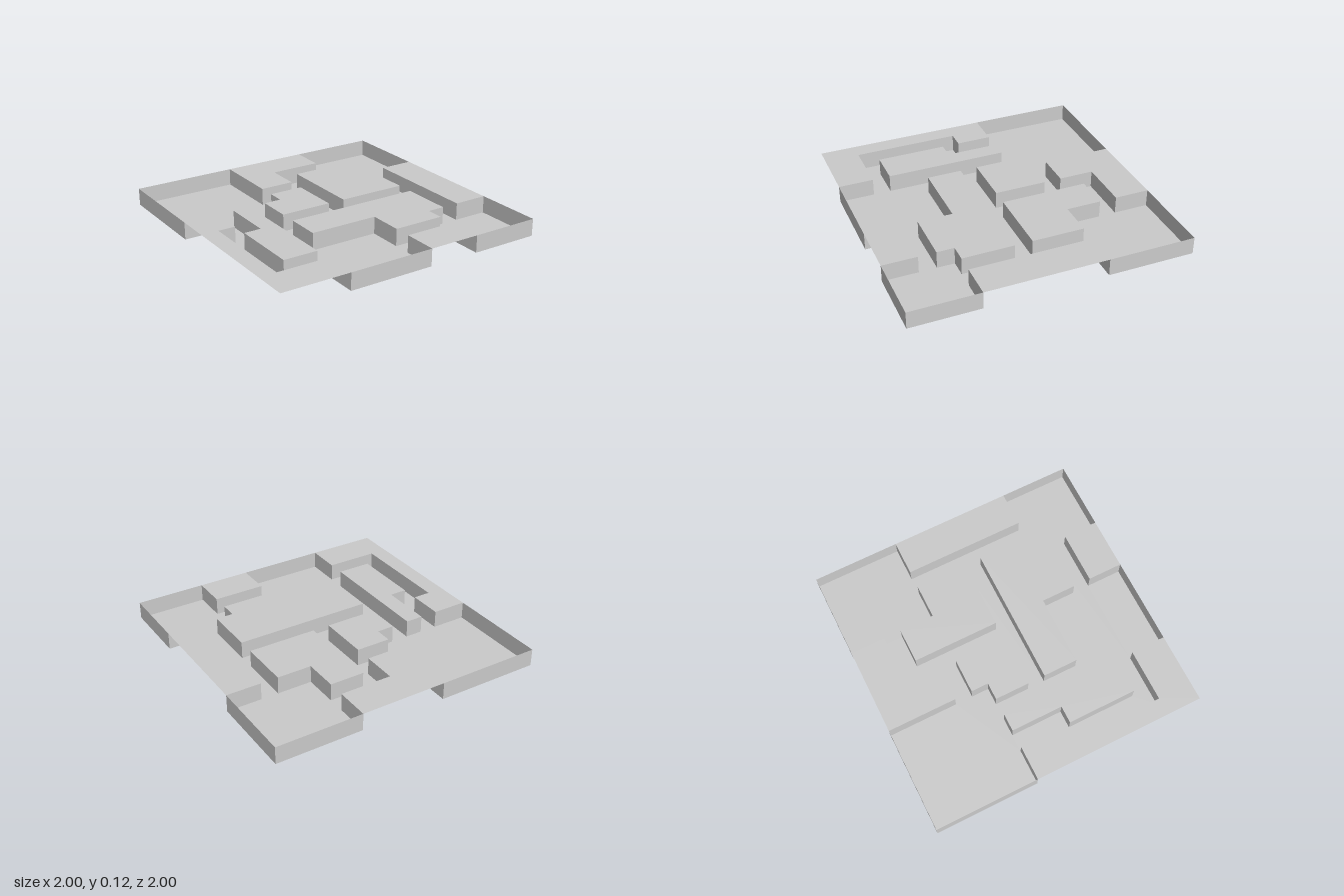
import * as THREE from 'three';

const U = 1 / 8;      // plan grid unit
const H = 0.125;      // height of the raised plates above the floor

// Plan outlines as [x, z] in grid units, clockwise seen from above
const floorOutline = [
  [-8, -8], [-2, -8], [-2, -4], [0, -4], [0, -6], [3, -6], [3, -8], [8, -8],
  [8, -3], [6, -3], [6, 4], [8, 4], [8, 8], [4, 8], [4, 6], [1, 6], [1, 8],
  [-4, 8], [-4, 6], [-7, 6], [-7, 0], [-6, 0], [-6, -2], [-8, -2],
];
const islands = {
  longIsland: [[-5, -2], [-4, -2], [-4, 5], [-6, 5], [-6, 1], [-5, 1]],
  smallIsland: [[-2, -3], [0, -3], [0, 0], [-3, 0], [-3, -2], [-2, -2]],
  backIsland: [[1, -5], [3, -5], [3, -3], [5, -3], [5, 0], [1, 0]],
  frontIsland: [[-3, 1], [5, 1], [5, 4], [4, 4], [4, 5], [1, 5], [1, 3], [-3, 3]],
};
const ledges = {
  backLedge: [[-2, -8], [3, -8], [3, -6], [0, -6], [0, -4], [-2, -4]],
  leftLedge: [[6, -3], [8, -3], [8, 4], [6, 4]],
  frontLedge: [[1, 6], [4, 6], [4, 8], [1, 8]],
  cornerLedge: [[-8, -2], [-6, -2], [-6, 0], [-7, 0], [-7, 6], [-4, 6], [-4, 8], [-8, 8]],
};

export function createModel() {
  const model = new THREE.Group();
  model.name = 'mazePlate';
  const material = new THREE.MeshStandardMaterial({
    color: 0xcccccc, flatShading: true, side: THREE.DoubleSide,
  });

  const add = (name, geometry) => {
    const mesh = new THREE.Mesh(geometry, material);
    mesh.name = name;
    model.add(mesh);
  };
  const points = (outline) => outline.map(([x, z]) => new THREE.Vector2(x * U, -z * U));

  // Horizontal sheet at height y, with optional holes
  const sheet = (outline, y, holes = []) => {
    const shape = new THREE.Shape(points(outline));
    shape.holes = holes.map((hole) => new THREE.Path(points(hole)));
    return new THREE.ShapeGeometry(shape).rotateX(-Math.PI / 2).translate(0, y, 0);
  };

  // Vertical ribbon around a closed outline, facing right of its direction
  const wall = (outline) => {
    const pos = [];
    outline.forEach(([ax, az], i) => {
      const [bx, bz] = outline[(i + 1) % outline.length];
      const a = [ax * U, 0, az * U], b = [bx * U, 0, bz * U];
      const c = [bx * U, H, bz * U], d = [ax * U, H, az * U];
      pos.push(...a, ...b, ...c, ...a, ...c, ...d);
    });
    const geometry = new THREE.BufferGeometry();
    geometry.setAttribute('position', new THREE.Float32BufferAttribute(pos, 3));
    geometry.computeVertexNormals();
    return geometry;
  };

  // Sunken floor and the wall around it
  add('floor', sheet(floorOutline, 0, Object.values(islands)));
  add('floorWall', wall(floorOutline));

  // Raised islands, hollow underneath
  for (const [name, outline] of Object.entries(islands)) {
    add(name + 'Top', sheet(outline, H));
    add(name + 'Wall', wall([...outline].reverse()));
  }

  // Raised ledges on the rim, open on their outer side
  for (const [name, outline] of Object.entries(ledges)) add(name, sheet(outline, H));

  return model;
}
